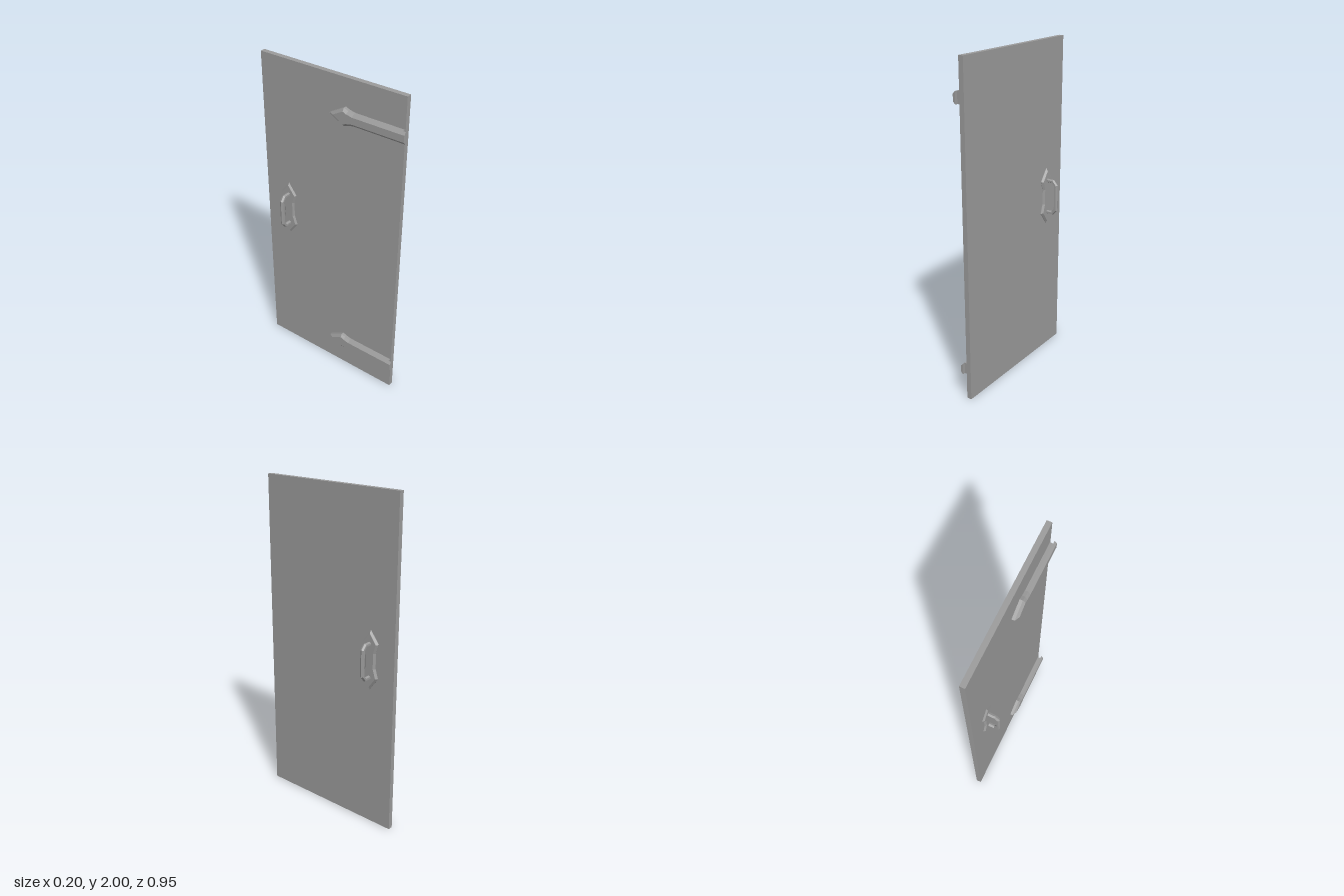
import * as THREE from 'three';

const material = new THREE.MeshStandardMaterial({ color: 0x9b9b9b, flatShading: true });

// Skins a row of matching counter-clockwise rings; optionally caps the last one.
function loft(rings, cap) {
  const pos = [];
  const tri = (...pts) => pts.forEach((p) => pos.push(...p));
  for (let k = 0; k < rings.length - 1; k++) {
    const a = rings[k], b = rings[k + 1], n = a.length;
    for (let i = 0; i < n; i++) {
      const j = (i + 1) % n;
      tri(a[i], a[j], b[j]);
      tri(a[i], b[j], b[i]);
    }
  }
  if (cap) {
    const top = rings[rings.length - 1];
    const flat = top.map((p) => new THREE.Vector2(p[0], p[1]));
    THREE.ShapeUtils.triangulateShape(flat, []).forEach((f) => tri(...f.map((i) => top[i])));
  }
  const geo = new THREE.BufferGeometry();
  geo.setAttribute('position', new THREE.Float32BufferAttribute(pos, 3));
  geo.computeVertexNormals();
  return geo;
}

function mesh(name, geo) {
  const m = new THREE.Mesh(geo, material);
  m.name = name;
  return m;
}

// Strap outline: pointed head, curved neck and bar, mirrored about its long axis.
function strapRing(tip, half, h) {
  return [
    [tip, 0, h],
    ...half.map(([u, v]) => [u, -v, h]),
    ...half.slice().reverse().map(([u, v]) => [u, v, h]),
  ];
}

function strapGeometry() {
  const base = (end, h) =>
    strapRing(0.004, [[0.097, 0.053], [0.125, 0.042], [0.16, 0.035], [end, 0.035]], h);
  return loft([
    base(0.457, 0.012),
    base(0.457, 0.034),
    base(0.475, 0.034), // outer layer overhangs the door edge
    strapRing(0.033, [[0.099, 0.037], [0.12, 0.028], [0.158, 0.02], [0.475, 0.02]], 0.048),
  ], true);
}

// Backplate outline: pointed at both ends with a narrow waist.
function plateRing(tip, wide, waist, h) {
  const right = [[0, -tip], [wide[0], -wide[1]], [waist[0], -waist[1]], waist, wide];
  const left = right.slice(1).map(([x, y]) => [-x, -y]);
  return [...right, [0, tip], ...left].map(([x, y]) => [x, y, h]);
}

function plateGeometry() {
  const outer = (h) => plateRing(0.179, [0.056, 0.103], [0.037, 0.045], h);
  return loft([outer(0.01), outer(0.0155), plateRing(0.161, [0.044, 0.101], [0.026, 0.047], 0.0265)], true);
}

// Six-sided grip swept along a mitred path.
function gripGeometry() {
  const r = 0.0115, rSide = 0.013, out = 0.0865, top = 0.1015;
  const path = [[0.01, top], [0.066, top], [out, 0.077], [out, -0.077], [0.066, -top], [0.01, -top]]
    .map((p) => new THREE.Vector2(...p)); // (outward, up)
  const normal = (i) => {
    const t = path[i + 1].clone().sub(path[i]).normalize();
    return new THREE.Vector2(t.y, -t.x);
  };
  const rings = path.map((p, i) => {
    const a = normal(Math.max(i - 1, 0));
    const b = normal(Math.min(i, path.length - 2));
    const m = a.clone().add(b).divideScalar(1 + a.dot(b));
    return Array.from({ length: 6 }, (_, k) => {
      const c = r * Math.cos((k * Math.PI) / 3), s = rSide * Math.sin((k * Math.PI) / 3);
      return [s, p.y + m.y * c, p.x + m.x * c];
    });
  });
  return loft(rings, false);
}

export function createModel() {
  const model = new THREE.Group();
  model.name = 'door';

  // Door slab
  const slab = mesh('doorPanel', new THREE.BoxGeometry(0.03, 2, 0.937));
  slab.position.set(-0.0015, 1, -0.0065);
  model.add(slab);

  // Handles on both faces
  for (const s of [1, -1]) {
    const handle = new THREE.Group();
    handle.name = s > 0 ? 'leftHandle' : 'rightHandle';
    handle.add(mesh('backplate', plateGeometry()), mesh('grip', gripGeometry()));
    handle.rotation.y = (s * Math.PI) / 2;
    handle.position.set(0, 1.047, -0.311);
    model.add(handle);
  }

  // Hinge straps on the right face
  for (const [name, y] of [['upperHingeStrap', 1.786], ['lowerHingeStrap', 0.195]]) {
    const strap = mesh(name, strapGeometry());
    strap.rotation.y = -Math.PI / 2;
    strap.position.y = y;
    model.add(strap);
  }
  return model;
}
